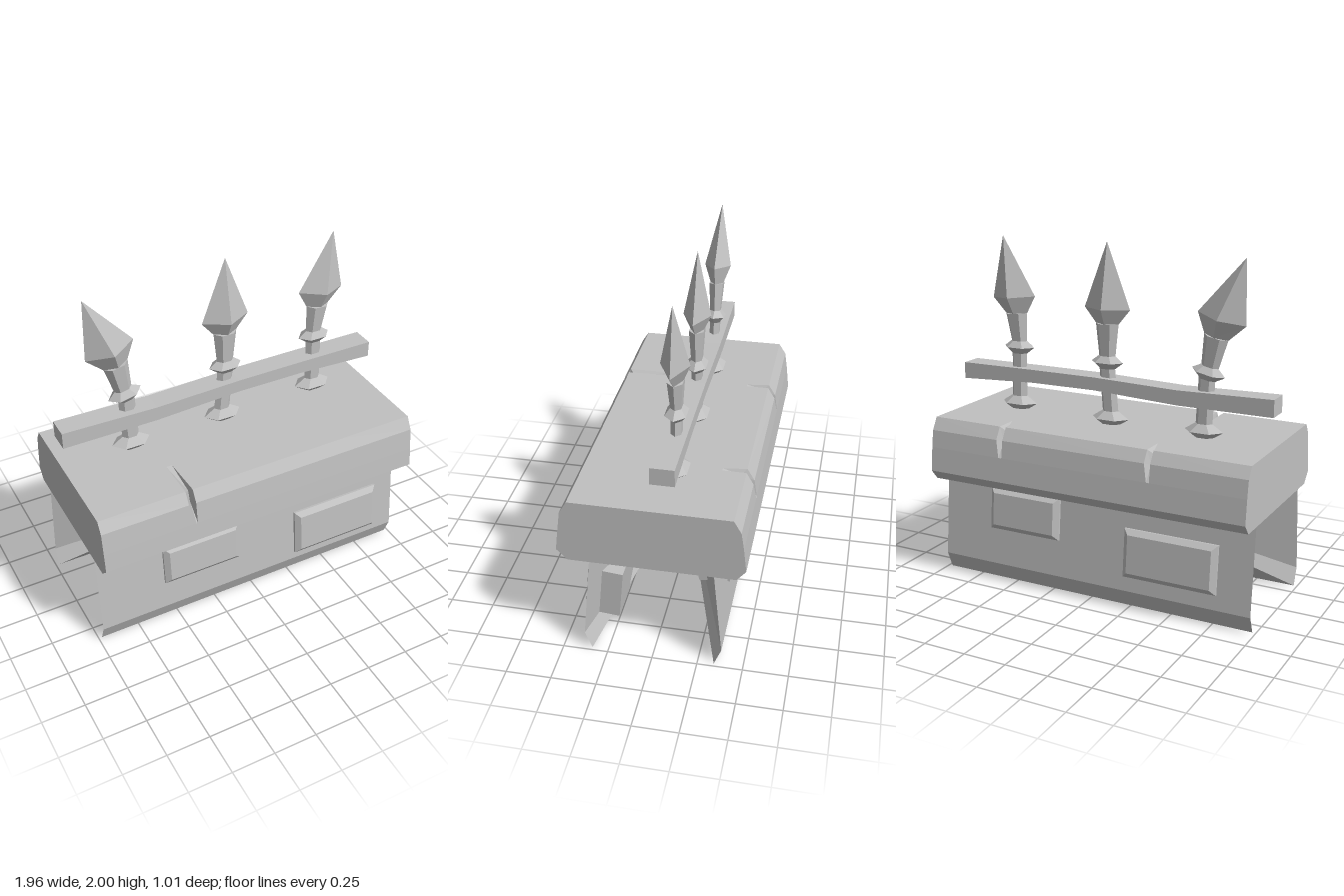
import * as THREE from 'three';

const stone = new THREE.MeshStandardMaterial({ color: 0xc0c0c0, side: THREE.DoubleSide });
stone.name = 'grey stone';

// Faceted geometry from a list of corner triples
function facets(points) {
  const g = new THREE.BufferGeometry().setFromPoints(points);
  g.computeVertexNormals();
  return g;
}

// Skin a row of equal loops (counter-clockwise seen from the far end), closing both ends
function loft(loops) {
  const out = [], n = loops[0].length, last = loops[loops.length - 1];
  for (let i = 0; i + 1 < loops.length; i++) {
    for (let j = 0; j < n; j++) {
      const k = (j + 1) % n, a = loops[i], b = loops[i + 1];
      out.push(a[j], a[k], b[k], a[j], b[k], b[j]);
    }
  }
  for (let j = 1; j + 1 < n; j++) {
    out.push(last[0], last[j], last[j + 1], loops[0][0], loops[0][j + 1], loops[0][j]);
  }
  return facets(out);
}

function add(parent, geometry, name) {
  const mesh = new THREE.Mesh(geometry, stone);
  mesh.name = name;
  parent.add(mesh);
  return mesh;
}

// Bevelled cap slab; at a crack station the edge points sink inward
function capStone() {
  const profile = [
    [-0.43, 0.97], [-0.3, 0.97], [0.2, 0.97], [0.44, 0.97], [0.48, 0.9], [0.497, 0.77],
    [0.51, 0.66], [0.45, 0.6], [-0.45, 0.6], [-0.5, 0.66], [-0.485, 0.8], [-0.47, 0.9],
  ];
  const sunk = { front: { 3: [0.4, 0.93], 4: [0.42, 0.87] }, back: { 0: [-0.4, 0.94], 11: [-0.42, 0.88] } };
  const stations = [
    [-0.98], [-0.47], [-0.435, 'front'], [-0.427], [-0.41, 'back'], [-0.39],
    [0.5], [0.52, 'back'], [0.54], [0.98],
  ];
  return loft(stations.map(([x, side]) => profile.map((p, i) => {
    const [z, y] = (side && sunk[side][i]) || p;
    return new THREE.Vector3(x, y + (y > 0.95 ? 0.004 * x - 0.003 : 0), z);
  })));
}

// Thin leaning walls whose ends and underside fold in to one central point
function wallShell() {
  const apex = new THREE.Vector3(0, 0.44, 0), out = [];
  const profile = [[0.31, 0.86], [0.38, 0.1], [0.34, 0]];
  for (const s of [1, -1]) {
    const at = (x) => profile.map(([z, y]) => new THREE.Vector3(x * s, y, z * s));
    const l = at(-0.98), r = at(0.98);
    for (let i = 0; i < 2; i++) out.push(l[i], l[i + 1], r[i + 1], l[i], r[i + 1], r[i]);
    const rim = [l[0], l[1], l[2], r[2], r[1], r[0]];
    for (let i = 0; i < 5; i++) out.push(rim[i + 1], rim[i], apex);
    // ceiling fold at one end
    out.push(r[0], new THREE.Vector3(0.98 * s, 0.86, -0.31 * s), apex);
  }
  return facets(out);
}

// Block with a bevelled outer face, local +z outward
function brick(w, h) {
  const ring = (z, inset) => [[1, 1], [-1, 1], [-1, -1], [1, -1]].map(
    ([x, y]) => new THREE.Vector3(x * (w / 2 - inset), y * (h / 2 - inset), z));
  return loft([ring(-0.2, 0), ring(-0.025, 0), ring(0, 0.03)]);
}

// Flattened ring of a spear, tilted about z
function spearRing(sides, r, [x, y, tilt], offset = 0) {
  const depth = sides === 4 ? 0.54 : 0.65;
  return Array.from({ length: sides }, (_, i) => {
    const a = (i / sides) * Math.PI * 2, u = r * Math.cos(a);
    return new THREE.Vector3(
      x + u * Math.cos(tilt) - offset * Math.sin(tilt),
      y + u * Math.sin(tilt) + offset * Math.cos(tilt),
      -0.07 - r * depth * Math.sin(a));
  });
}

function spear(name, [base, collar, neck, head, tip]) {
  const g = new THREE.Group();
  g.name = name;
  const six = (r, c, o) => spearRing(6, r, c, o);
  add(g, loft([
    six(0.06, base, -0.035), six(0.115, base, 0), six(0.05, base, 0.042),
    six(0.05, collar, -0.038), six(0.1, collar, 0), six(0.052, collar, 0.036),
    six(0.072, neck, 0),
  ]), 'spear shaft');
  add(g, loft([
    spearRing(4, 0.072, neck), spearRing(4, 0.143, head), spearRing(4, 0.001, tip),
  ]), 'spear head');
  return g;
}

export function createModel() {
  const model = new THREE.Group();
  model.name = 'spiked wall';

  add(model, capStone(), 'cap stone');
  add(model, wallShell(), 'lower wall');

  // Raised bricks: centre x, centre y, width, height, side
  const bricks = [
    [-0.34, 0.405, 0.48, 0.25, 1], [0.565, 0.3, 0.57, 0.295, 1],
    [0.43, 0.445, 0.46, 0.25, -1], [-0.5, 0.33, 0.56, 0.28, -1],
  ];
  for (const [x, y, w, h, s] of bricks) {
    const b = add(model, brick(w, h), 'wall brick');
    b.rotation.set(0.09 * s, s > 0 ? 0 : Math.PI, 0);
    if (s < 0) b.rotation.x = -0.09;
    b.rotation.x = s > 0 ? -0.09 : 0.09;
    b.position.set(x, y, s * (0.427 - 0.09 * y));
  }

  // Bent rail: x, bottom, top
  const rail = [[-0.98, 1.14, 1.238], [-0.42, 1.14, 1.225], [0.1, 1.165, 1.24], [0.5, 1.163, 1.24], [0.98, 1.14, 1.237]];
  add(model, loft(rail.map(([x, lo, hi]) => [[-0.13, hi], [0, hi], [0, lo], [-0.13, lo]].map(
    ([z, y]) => new THREE.Vector3(x, y, z)))), 'rail');

  // Spears: base, collar, neck, head and tip as x, y, tilt
  model.add(spear('left leaning spear', [[-0.56, 1.0, 0], [-0.58, 1.33, 0.22], [-0.62, 1.53, 0.22], [-0.65, 1.63, 0.21], [-0.78, 1.96, 0.3]]));
  model.add(spear('middle spear', [[0.02, 1.0, 0], [0.04, 1.325, 0], [0.04, 1.545, 0], [0.04, 1.63, 0], [0.04, 2.0, 0]]));
  model.add(spear('right leaning spear', [[0.63, 1.02, 0], [0.625, 1.357, 0], [0.64, 1.555, -0.06], [0.655, 1.65, -0.08], [0.72, 2.0, -0.1]]));

  return model;
}
